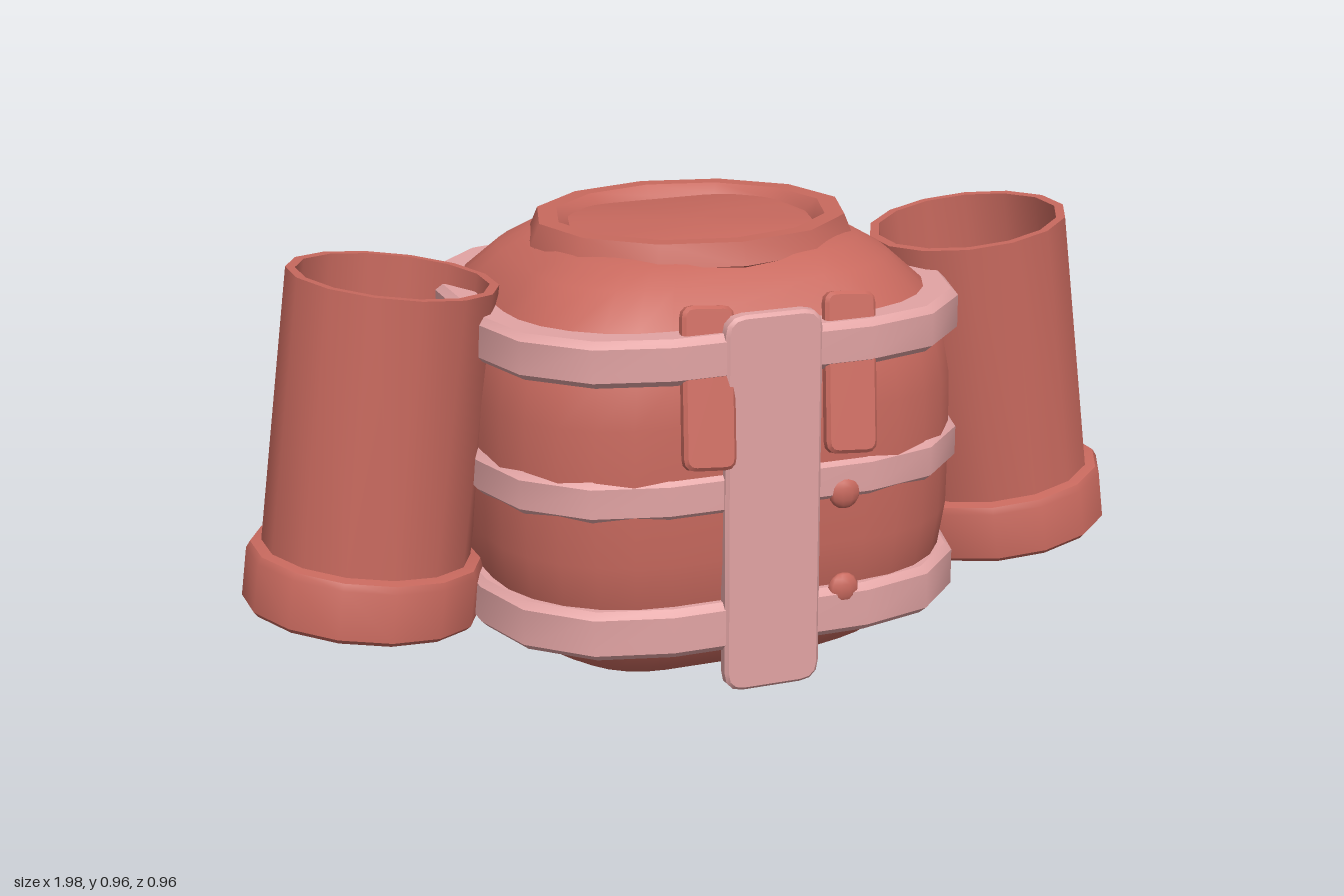
import * as THREE from 'three';
import { toCreasedNormals } from 'three/addons/utils/BufferGeometryUtils.js';

const RED = new THREE.MeshStandardMaterial({ color: 0xc8695e });
const PINK = new THREE.MeshStandardMaterial({ color: 0xe2a4a4 });
const MID_Z = -0.02;

// Rounded-rectangle outline in the xz plane
function outline(hx, hz, round, segs) {
  const r = Math.min(hx, hz) * round, pts = [];
  [[1, 1], [-1, 1], [-1, -1], [1, -1]].forEach(([sx, sz], q) => {
    for (let i = 0; i <= segs; i++) {
      const a = (q + i / segs) * Math.PI / 2;
      pts.push([sx * (hx - r) + r * Math.cos(a), sz * (hz - r) + r * Math.sin(a)]);
    }
  });
  return pts;
}

// Skin through rows of [half width, half depth, height], listed bottom to top
function loft(rows, round, segs, crease) {
  const pos = [], index = [], n = 4 * (segs + 1);
  for (const [hx, hz, y] of rows)
    for (const [x, z] of outline(hx, hz, round, segs)) pos.push(x, y, z + MID_Z);
  for (let i = 0; i < rows.length - 1; i++)
    for (let j = 0; j < n; j++) {
      const a = i * n + j, b = i * n + (j + 1) % n;
      index.push(a, a + n, b, b, a + n, b + n);
    }
  const g = new THREE.BufferGeometry();
  g.setAttribute('position', new THREE.Float32BufferAttribute(pos, 3));
  g.setIndex(index);
  return toCreasedNormals(g, crease);
}

function lathe(points, sides, crease) {
  const g = new THREE.LatheGeometry(points.map(p => new THREE.Vector2(...p)), sides);
  return toCreasedNormals(g, crease);
}

// Upright slab with rounded corners and bevelled edges, centred on the origin
function slab(w, h, d, r) {
  const b = 0.007, x = w / 2 - b, y = h / 2 - b;
  const s = new THREE.Shape();
  s.moveTo(-x + r, -y);
  s.lineTo(x - r, -y).quadraticCurveTo(x, -y, x, -y + r);
  s.lineTo(x, y - r).quadraticCurveTo(x, y, x - r, y);
  s.lineTo(-x + r, y).quadraticCurveTo(-x, y, -x, y - r);
  s.lineTo(-x, -y + r).quadraticCurveTo(-x, -y, -x + r, -y);
  const g = new THREE.ExtrudeGeometry(s, {
    depth: d - 2 * b, bevelThickness: b, bevelSize: b, bevelSegments: 1, curveSegments: 3,
  });
  g.center();
  return toCreasedNormals(g, 0.6);
}

export function createModel() {
  const model = new THREE.Group();
  const add = (name, geometry, material, x = 0, y = 0, z = 0) => {
    const m = new THREE.Mesh(geometry, material);
    m.name = name;
    m.position.set(x, y, z);
    model.add(m);
    return m;
  };

  // Puffy torso with flat bottom and top
  add('torso', loft([
    [0, 0, 0.004], [0.23, 0.14, 0.004], [0.31, 0.235, 0.02], [0.38, 0.315, 0.065],
    [0.46, 0.395, 0.14], [0.5, 0.433, 0.24], [0.515, 0.445, 0.34], [0.517, 0.446, 0.48],
    [0.515, 0.445, 0.63], [0.5, 0.433, 0.72], [0.46, 0.392, 0.82], [0.39, 0.33, 0.885],
    [0.33, 0.28, 0.92], [0.24, 0.2, 0.942], [0, 0, 0.942],
  ], 0.68, 6, 0.7), RED);

  // Three horizontal bands
  const band = (hx, hz, y0, y1) => {
    const b = 0.014, t = 0.09;
    return loft([
      [hx - t, hz - t, y0], [hx - b, hz - b, y0], [hx, hz, y0 + b],
      [hx, hz, y1 - b], [hx - b, hz - b, y1], [hx - t, hz - t, y1],
    ], 0.68, 3, 0.65);
  };
  add('bottomBand', band(0.53, 0.46, 0.14, 0.245), PINK);
  add('middleBand', band(0.532, 0.455, 0.435, 0.525), PINK);
  add('topBand', band(0.528, 0.46, 0.72, 0.817), PINK);

  // Faceted oval collar
  const collar = add('collar', lathe([
    [0.25, 0.9], [0.33, 0.9], [0.358, 0.913], [0.338, 0.96],
    [0.295, 0.96], [0.27, 0.94], [0.25, 0.9],
  ], 12, 0.6), RED, 0, 0, MID_Z - 0.005);
  collar.scale.z = 0.88;

  // Open tilted sleeves with thick cuffs
  const sleeve = lathe([
    [0.195, 0], [0.24, 0], [0.25, 0.01], [0.25, 0.115], [0.243, 0.13], [0.22, 0.135],
    [0.22, 0.722], [0.2, 0.722], [0.195, 0],
  ], 14, 0.7);
  for (const s of [1, -1]) {
    const arm = add(s > 0 ? 'leftSleeve' : 'rightSleeve', sleeve, RED, s * 0.752, 0.165, MID_Z);
    arm.rotation.z = s * 0.132;
  }

  // Front placket
  add('placket', slab(0.21, 0.805, 0.034, 0.035), PINK, 0, 0.452, 0.428);

  // Slanting tabs threaded through the top band
  for (const [name, x] of [['leftTab', 0.17], ['rightTab', -0.14]]) {
    const tab = add(name, slab(0.112, 0.33, 0.03, 0.018), RED, x, 0.709, 0.43);
    tab.rotation.set(-0.25, 0, -0.08);
  }

  // Buttons beside the placket
  const button = new THREE.SphereGeometry(0.035, 10, 8);
  for (const y of [0.45, 0.238])
    add('button', button, RED, 0.165, y, 0.427).scale.z = 0.5;

  return model;
}
